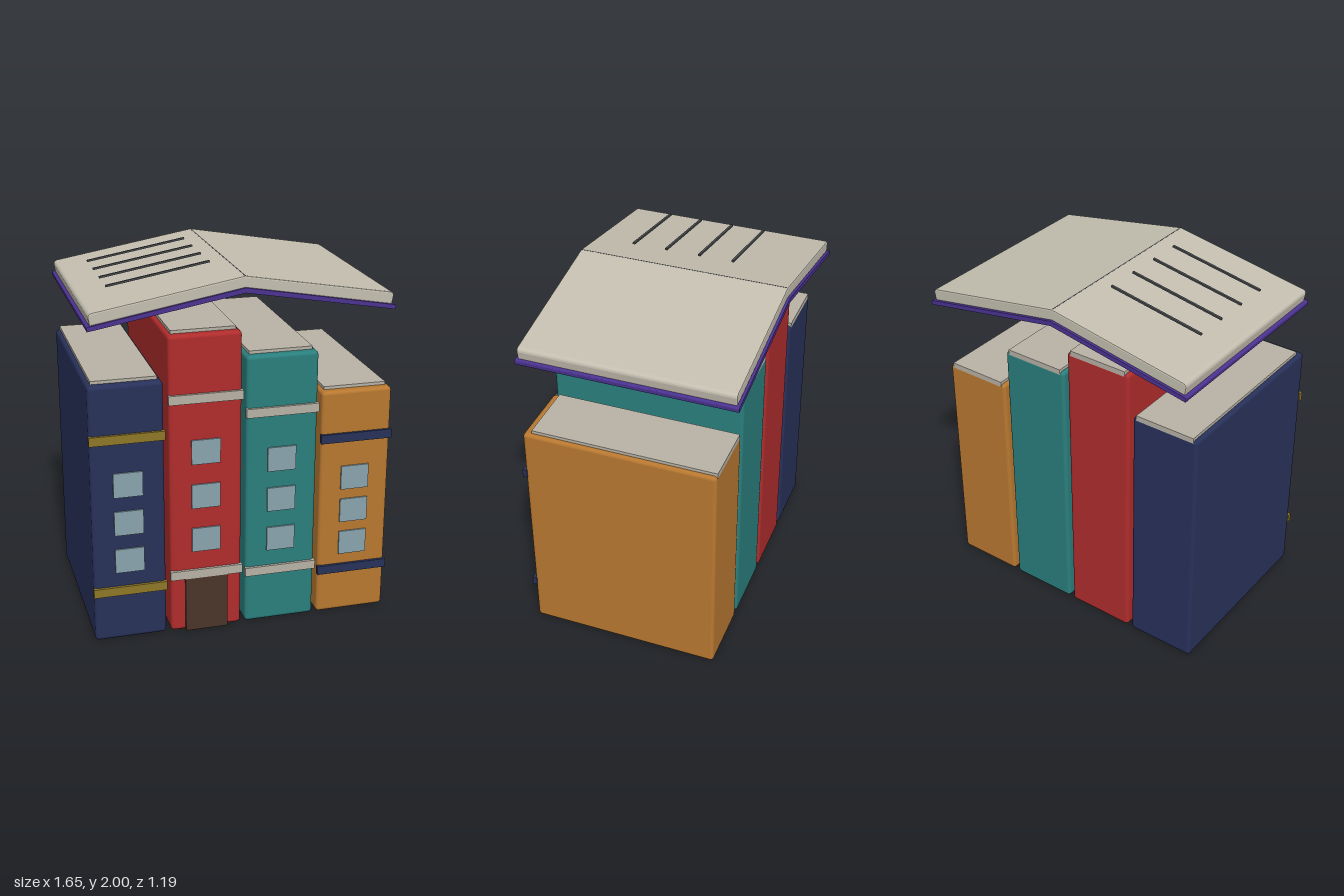
import * as THREE from 'three';
import { RoundedBoxGeometry } from 'three/addons/geometries/RoundedBoxGeometry.js';

const mat = (color) => new THREE.MeshStandardMaterial({ color });
const cream = mat(0xb8b2a6), glass = mat(0x8aa4ad), wood = mat(0x4a3428);
const paper = mat(0xc4bfb0), purple = mat(0x4b3391), ink = mat(0x4a4d50);

function add(parent, name, geometry, material, x, y, z) {
  const mesh = new THREE.Mesh(geometry, material);
  mesh.name = name;
  mesh.position.set(x, y, z);
  parent.add(mesh);
  return mesh;
}

const box = (w, h, d) => new THREE.BoxGeometry(w, h, d);
const FRONT = 0.58, BACK = -0.49, WIDTH = 0.393;

// One upright book: rounded block, page slab on top, spine bands and windows
function makeBook({ name, x, height, color, band, bands, windows }) {
  const book = new THREE.Group();
  book.name = name;
  const depth = FRONT - BACK;
  add(book, 'bookCover', new RoundedBoxGeometry(WIDTH, height, depth, 2, 0.02), mat(color),
    x, height / 2, (FRONT + BACK) / 2);
  add(book, 'pageTop', box(0.347, 0.03, 1.025), cream, x, height + 0.002, 0.0225);
  const bandMat = mat(band);
  for (const y of bands) add(book, 'spineBand', box(0.4, 0.05, 0.025), bandMat, x, y, 0.583);
  for (const y of windows) add(book, 'window', box(0.157, 0.137, 0.02), glass, x, y, 0.579);
  return book;
}

// Gabled slab: outer and inner chevron lines, rounded at the outer top corners
function gable(half, peakTop, edgeTop, peakLow, edgeLow, round, z0, z1, bevel) {
  const slope = (peakTop - edgeTop) / half;
  const s = new THREE.Shape();
  s.moveTo(0, peakTop);
  s.lineTo(-half + round, edgeTop + slope * round);
  s.quadraticCurveTo(-half, edgeTop, -half, edgeTop - round);
  s.lineTo(-half + round * 0.4, edgeLow);
  s.lineTo(0, peakLow);
  s.lineTo(half - round * 0.4, edgeLow);
  s.lineTo(half, edgeTop - round);
  s.quadraticCurveTo(half, edgeTop, half - round, edgeTop + slope * round);
  s.closePath();
  const g = new THREE.ExtrudeGeometry(s, {
    depth: z1 - z0 - 2 * bevel, curveSegments: 4, bevelEnabled: bevel > 0,
    bevelSize: bevel, bevelThickness: bevel, bevelOffset: -bevel, bevelSegments: 2,
  });
  return g.translate(0, 0, z0 + bevel);
}

export function createModel() {
  const model = new THREE.Group();
  model.name = 'bookHouses';

  const books = [
    { name: 'blueBook', x: -0.629, height: 1.45, color: 0x28315a, band: 0x8f7728,
      bands: [0.292, 1.16], windows: [0.467, 0.685, 0.902] },
    { name: 'redBook', x: -0.21, height: 1.685, color: 0xb02c2c, band: 0xb8b2a6,
      bands: [0.34, 1.345], windows: [0.54, 0.793, 1.045] },
    { name: 'tealBook', x: 0.208, height: 1.543, color: 0x2a7f7d, band: 0xb8b2a6,
      bands: [0.31, 1.235], windows: [0.495, 0.728, 0.961] },
    { name: 'orangeBook', x: 0.626, height: 1.31, color: 0xb87830, band: 0x28315a,
      bands: [0.265, 1.047], windows: [0.42, 0.615, 0.81] },
  ];
  for (const b of books) model.add(makeBook(b));
  add(model, 'door', box(0.235, 0.35, 0.03), wood, -0.21, 0.175, 0.58);

  // Open book forming the roof
  const roof = new THREE.Group();
  roof.name = 'openBookRoof';
  add(roof, 'roofCover', gable(0.818, 1.912, 1.766, 1.885, 1.742, 0.006, -0.595, 0.588, 0), purple, 0, 0, 0);
  add(roof, 'roofPages', gable(0.808, 1.972, 1.832, 1.908, 1.767, 0.02, -0.582, 0.578, 0.008), paper, 0, 0, 0);
  add(roof, 'pageSeam', box(0.006, 0.004, 1.15), ink, 0, 1.97, 0);

  // Printed lines hovering over the left page
  for (const z of [-0.24, -0.053, 0.134, 0.32]) {
    const line = add(roof, 'textLine', box(0.558, 0.01, 0.013), ink, -0.395, 1.947, z);
    line.rotation.z = Math.atan(0.175);
  }
  model.add(roof);
  return model;
}
